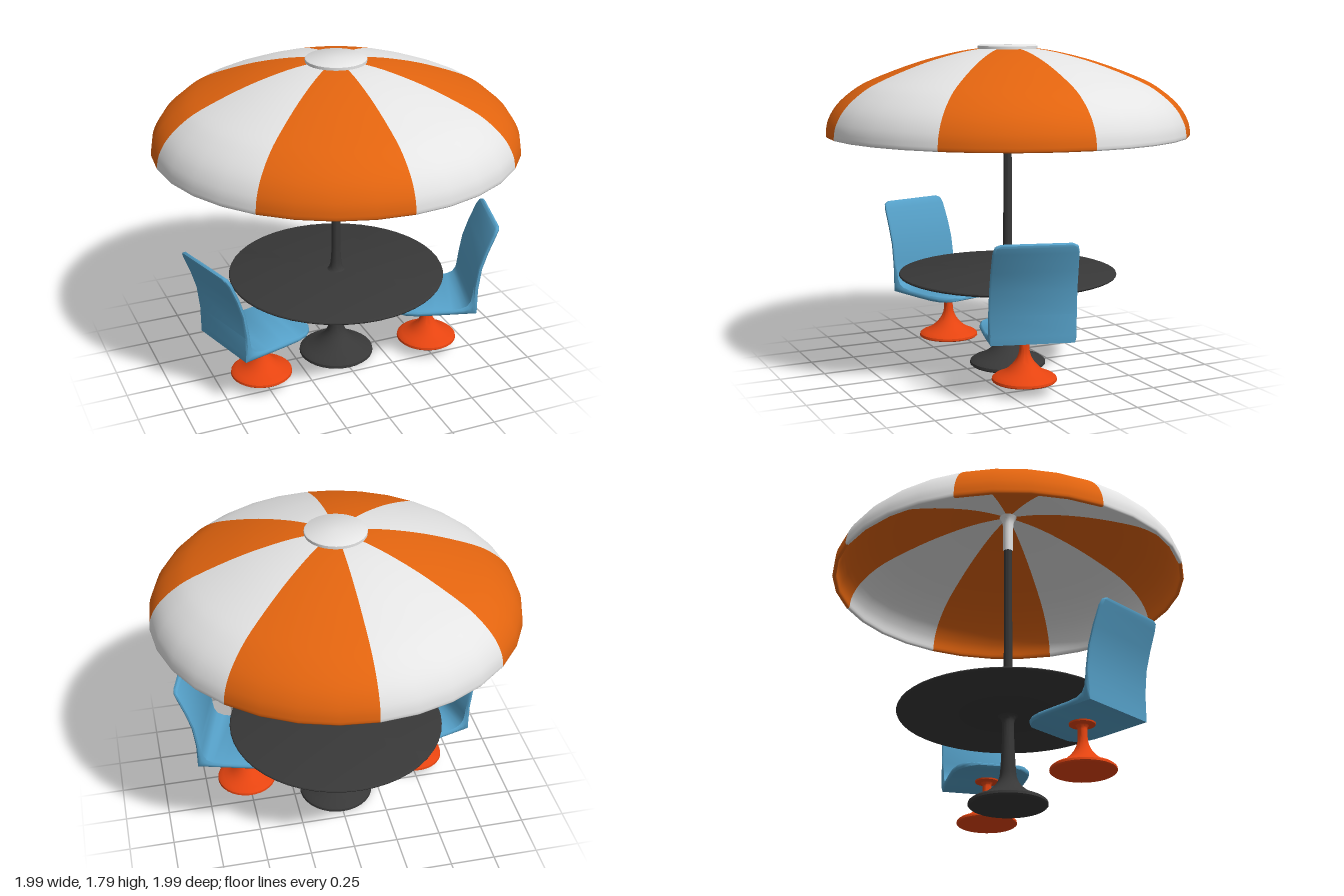
import * as THREE from 'three';
import { toCreasedNormals } from 'three/addons/utils/BufferGeometryUtils.js';

const material = (name, color) => {
  const m = new THREE.MeshStandardMaterial({ color });
  m.name = name;
  return m;
};

const V = (p) => new THREE.Vector2(p[0], p[1]);
const smooth = (pts, n) => new THREE.SplineCurve(pts.map(V)).getPoints(n);

function mesh(name, geometry, mat) {
  const m = new THREE.Mesh(geometry, mat);
  m.name = name;
  return m;
}

// Turned part from a bottom-to-top profile, with crisp rims kept sharp
const turned = (profile, sides = 32) =>
  toCreasedNormals(new THREE.LatheGeometry(profile, sides), 0.7);

// Seat shell: stations run from the seat's front edge to the top of the back.
// Each is [underside x, y, upper side x, y, half width].
const STATIONS = [
  [-0.238, 0.33, -0.238, 0.34, 0.1],
  [-0.225, 0.323, -0.225, 0.347, 0.145],
  [-0.2, 0.32, -0.2, 0.35, 0.18],
  [-0.16, 0.32, -0.16, 0.35, 0.208],
  [-0.1, 0.32, -0.1, 0.35, 0.222],
  [0, 0.32, 0, 0.35, 0.225],
  [0.12, 0.32, 0.1, 0.35, 0.225],
  [0.18, 0.32, 0.155, 0.355, 0.225],
  [0.225, 0.32, 0.19, 0.37, 0.225],
  [0.245, 0.32, 0.208, 0.4, 0.225],
  [0.245, 0.36, 0.215, 0.44, 0.225],
  [0.246, 0.47, 0.222, 0.5, 0.225],
  [0.263, 0.6, 0.24, 0.61, 0.223],
  [0.295, 0.7, 0.272, 0.71, 0.221],
  [0.335, 0.8, 0.312, 0.81, 0.217],
  [0.35, 0.832, 0.328, 0.841, 0.208],
  [0.353, 0.845, 0.34, 0.852, 0.185],
];

function seatShellGeometry() {
  // Rounded cross-section: [side, from underside 0 to upper side 1]
  const ring = [[-0.96, 0], [0.96, 0], [1, 0.3], [1, 0.7], [0.96, 1], [-0.96, 1], [-1, 0.7], [-1, 0.3]];
  const n = ring.length;
  const positions = [];
  const index = [];
  for (const [lx, ly, ux, uy, w] of STATIONS) {
    for (const [s, t] of ring) positions.push(lx + (ux - lx) * t, ly + (uy - ly) * t, s * w);
  }
  for (let i = 0; i < STATIONS.length - 1; i++) {
    for (let k = 0; k < n; k++) {
      const a = i * n + k;
      const b = i * n + ((k + 1) % n);
      index.push(a, b + n, b, a, a + n, b + n);
    }
  }
  const last = (STATIONS.length - 1) * n;
  for (let k = 1; k < n - 1; k++) {
    index.push(0, k, k + 1, last, last + k + 1, last + k);
  }
  const g = new THREE.BufferGeometry();
  g.setAttribute('position', new THREE.Float32BufferAttribute(positions, 3));
  g.setIndex(index);
  return toCreasedNormals(g, 0.8);
}

export function createModel() {
  const orange = material('canopy orange', 0xe2640f);
  const white = material('canopy white', 0xe4e4e4);
  const dark = material('charcoal', 0x383838);
  const blue = material('seat blue', 0x55a0c8);
  const red = material('pedestal red-orange', 0xe64410);
  const model = new THREE.Group();
  model.name = 'parasolTable';

  // Canopy: eight alternating panels of a thin domed shell
  const canopy = new THREE.Group();
  canopy.name = 'canopy';
  const outer = smooth([[0.997, 1.318], [0.985, 1.385], [0.94, 1.465], [0.86, 1.54], [0.75, 1.605],
    [0.52, 1.693], [0.32, 1.748], [0.165, 1.775], [0, 1.785]], 28);
  const inner = outer.map((p) => new THREE.Vector2(p.x * 0.978, p.y - 0.016 * (p.y - 1.31) / 0.47)).reverse();
  const shell = [...inner, V([0.98, 1.31]), V([0.992, 1.31]), ...outer];
  for (let i = 0; i < 8; i++) {
    const panel = new THREE.LatheGeometry(shell, 4, (i * Math.PI) / 4, Math.PI / 4);
    canopy.add(mesh('canopyPanel' + (i + 1), panel, i % 2 ? orange : white));
  }
  canopy.add(mesh('canopyCap', turned([[0, 1.77], [0.16, 1.77], [0.165, 1.774], [0.165, 1.79], [0.16, 1.794], [0, 1.794]].map(V)), white));
  canopy.add(mesh('canopySleeve', turned(smooth([[0.028, 1.54], [0.029, 1.62], [0.03, 1.7], [0.036, 1.74], [0.055, 1.775]], 14), 24), white));
  model.add(canopy);

  // Table: pole, round top and flared pedestal
  const table = new THREE.Group();
  table.name = 'table';
  table.add(mesh('pole', turned([
    ...smooth([[0.06, 0.535], [0.042, 0.55], [0.031, 0.59], [0.025, 0.68]], 12),
    V([0.023, 1.2]), V([0.023, 1.56]), V([0, 1.56])], 24), dark));
  table.add(mesh('tableTop', turned([[0, 0.51], [0.1, 0.512], [0.13, 0.518], [0.595, 0.518], [0.606, 0.523],
    [0.609, 0.529], [0.606, 0.535], [0.595, 0.539], [0, 0.542]].map(V), 48), dark));
  table.add(mesh('tablePedestal', turned([
    V([0, 0]), V([0.205, 0]), V([0.214, 0.008]), V([0.212, 0.022]), V([0.195, 0.035]),
    ...smooth([[0.17, 0.044], [0.115, 0.075], [0.07, 0.117], [0.048, 0.16], [0.041, 0.22],
      [0.034, 0.36], [0.032, 0.46], [0.04, 0.495], [0.06, 0.515]], 28)], 32), dark));
  model.add(table);

  // Two chairs, mirrored and turned to face the table
  const seatGeometry = seatShellGeometry();
  const pedestalGeometry = turned([
    V([0, 0.06]), V([0.165, 0.06]), V([0.172, 0.066]), V([0.17, 0.078]), V([0.158, 0.088]),
    ...smooth([[0.14, 0.095], [0.095, 0.12], [0.055, 0.16], [0.033, 0.2], [0.026, 0.24], [0.025, 0.295]], 18),
    V([0.035, 0.308]), V([0.068, 0.312]), V([0.07, 0.322])]);
  for (const [side, name] of [[1, 'leftChair'], [-1, 'rightChair']]) {
    const chair = new THREE.Group();
    chair.name = name;
    chair.add(mesh('seatShell', seatGeometry, blue), mesh('chairPedestal', pedestalGeometry, red));
    chair.position.set(0.513 * side, 0, 0.147);
    chair.rotation.y = side > 0 ? -0.28 : Math.PI + 0.28;
    model.add(chair);
  }
  return model;
}
